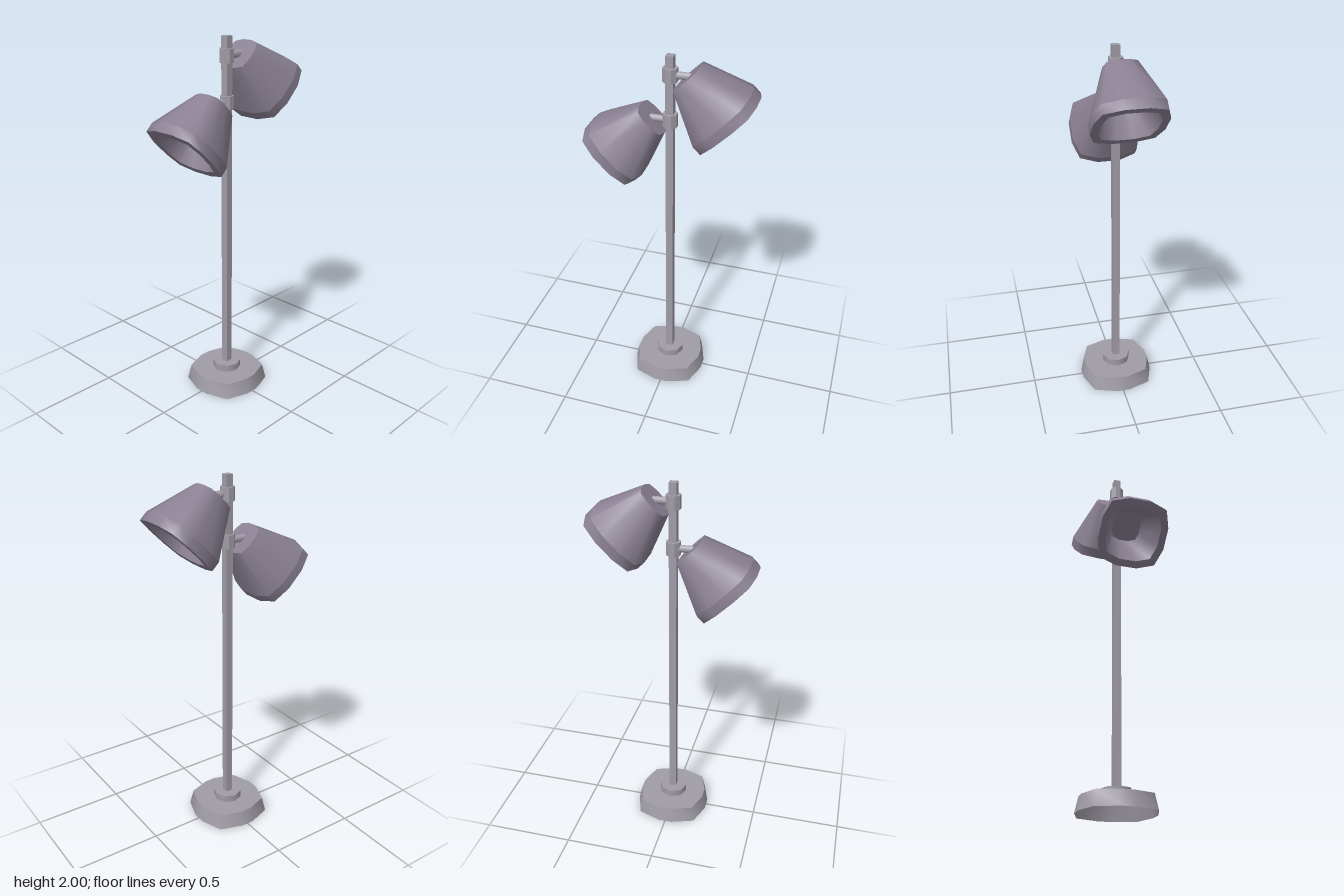
import * as THREE from 'three';

// Twelve-point rounded square of half width 1: flat = half the straight side, corner = corner position
function roundedSquare(flat, corner) {
  const quarter = [[1, -flat], [1, flat], [corner, corner]];
  const ring = [];
  for (let q = 0; q < 4; q++) {
    for (const [x, z] of quarter) {
      const c = [1, 0, -1, 0][q], s = [0, 1, 0, -1][q];
      ring.push([x * c - z * s, x * s + z * c]);
    }
  }
  return ring;
}

// Sweeps a [radius, height] profile round a ring; smooth around, crisp between bands
function loft(ring, profile) {
  const pos = [], index = [], n = ring.length;
  for (let b = 0; b < profile.length - 1; b++) {
    const start = pos.length / 3;
    for (const [r, h] of [profile[b], profile[b + 1]]) {
      for (const [x, z] of ring) pos.push(x * r, h, z * r);
    }
    for (let i = 0; i < n; i++) {
      const a = start + i, c = start + (i + 1) % n;
      if (profile[b + 1][0] > 0) index.push(a, a + n, c + n);
      if (profile[b][0] > 0) index.push(a, c + n, c);
    }
  }
  const g = new THREE.BufferGeometry();
  g.setAttribute('position', new THREE.Float32BufferAttribute(pos, 3));
  g.setIndex(index);
  g.computeVertexNormals();
  return g;
}

export function createModel() {
  const model = new THREE.Group();
  model.name = 'floorLamp';
  const metal = new THREE.MeshStandardMaterial({ color: 0xa09ca6, side: THREE.DoubleSide });
  metal.name = 'pale grey metal';
  const shadePaint = new THREE.MeshStandardMaterial({ color: 0x8a8092 });
  shadePaint.name = 'mauve grey shade';

  const add = (name, geometry, material, parent = model) => {
    const mesh = new THREE.Mesh(geometry, material);
    mesh.name = name;
    parent.add(mesh);
    return mesh;
  };

  // Hollow foot, open underneath, with a small step on top
  add('base', loft(roundedSquare(0.18, 0.79), [[0.207, 0], [0.188, 0.085], [0, 0.085]]), metal);
  add('baseStep', new THREE.CylinderGeometry(0.08, 0.08, 0.04, 8), metal).position.y = 0.105;

  // Square pole
  add('pole', new THREE.BoxGeometry(0.04, 1.88, 0.04), metal).position.y = 1.06;

  // Shade: outer cone, straight rim band and a shallow recess inside
  const shadeGeometry = loft(roundedSquare(0.32, 0.83), [
    [0, -0.134], [0.08, -0.134], [0.148, -0.308], [0.187, -0.308],
    [0.187, -0.254], [0.091, 0], [0, 0],
  ]);
  const collarGeometry = new THREE.CylinderGeometry(0.039, 0.039, 0.072, 8)
    .rotateY(Math.PI / 8).toNonIndexed();
  collarGeometry.computeVertexNormals();

  // Two lamp heads: the lower one points forward, the upper one backward
  for (const [name, y, dir] of [['lowerLamp', 1.66, 1], ['upperLamp', 1.902, -1]]) {
    const lamp = new THREE.Group();
    lamp.name = name;
    lamp.position.y = y;
    model.add(lamp);

    add('collar', collarGeometry, metal, lamp);

    const arm = add('arm', new THREE.CylinderGeometry(0.02, 0.02, 0.085, 8), metal, lamp);
    arm.rotation.x = Math.PI / 2;
    arm.position.z = dir * 0.0625;

    const shade = add('shade', shadeGeometry, shadePaint, lamp);
    shade.rotation.x = -dir * Math.PI / 4;
    shade.position.z = dir * 0.09;
  }
  return model;
}
